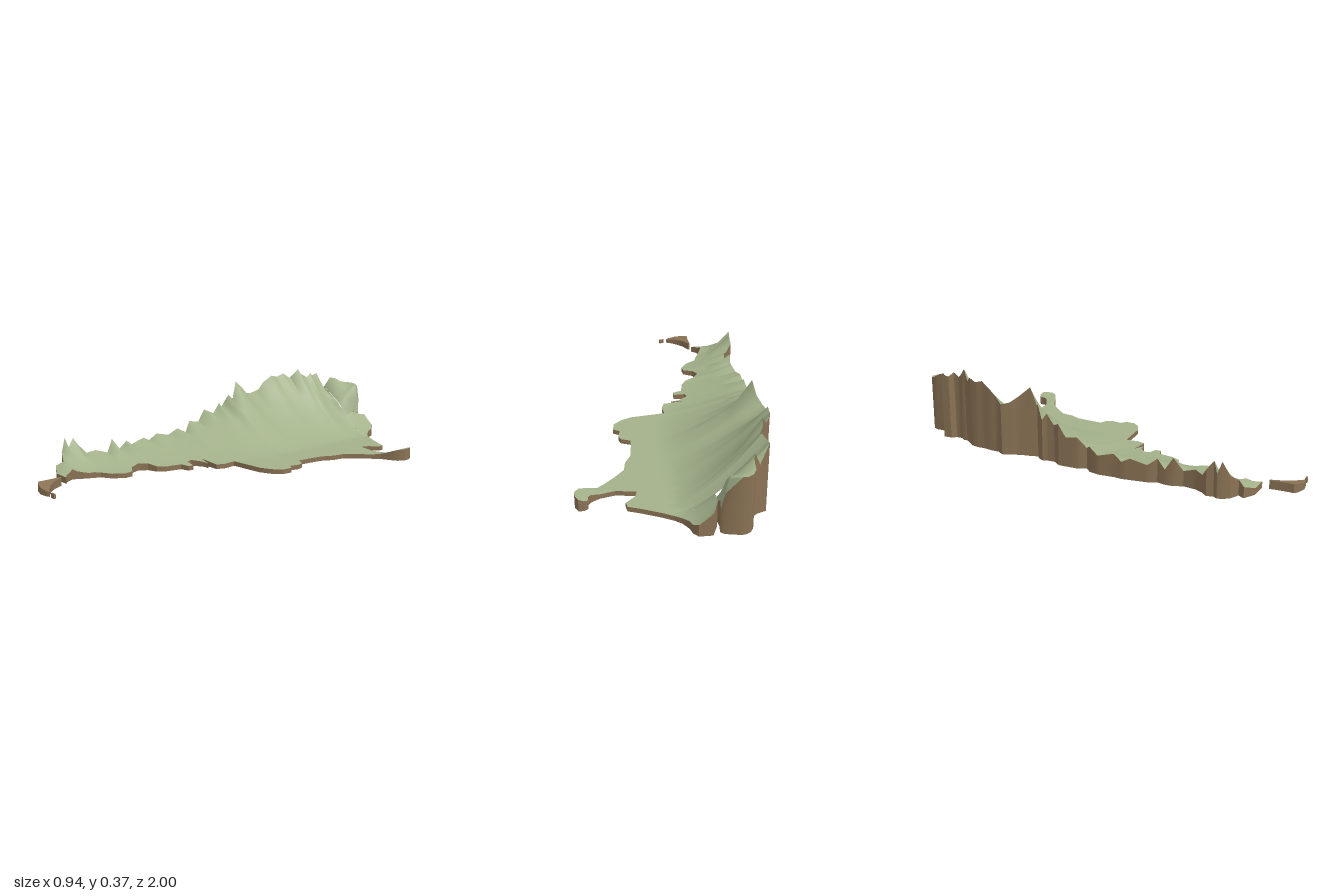
import * as THREE from 'three';
import { toCreasedNormals } from 'three/addons/utils/BufferGeometryUtils.js';

const BASE = 0.023;
const clamp = THREE.MathUtils.clamp, lerp = THREE.MathUtils.lerp;

// West coast: z, x, height of the mountain rim
const WEST = [
  [-1, -.22, .27], [-.97, -.25, .31], [-.92, -.25, .33], [-.885, -.26, .32], [-.86, -.29, .24],
  [-.845, -.33, .33], [-.8, -.33, .32], [-.78, -.31, .34], [-.75, -.31, .32], [-.72, -.33, .34],
  [-.7, -.33, .37], [-.66, -.36, .32], [-.63, -.38, .345], [-.59, -.39, .33], [-.55, -.39, .34],
  [-.5, -.4, .31], [-.46, -.4, .27], [-.42, -.425, .25], [-.38, -.41, .26], [-.34, -.39, .29],
  [-.28, -.38, .34], [-.25, -.37, .25], [-.235, -.39, .27], [-.2, -.41, .2], [-.18, -.4, .23],
  [-.14, -.4, .18], [-.1, -.43, .2], [-.06, -.43, .14], [0, -.43, .15], [.04, -.41, .1],
  [.07, -.44, .12], [.12, -.455, .09], [.2, -.45, .11], [.24, -.455, .08], [.28, -.45, .1],
  [.36, -.44, .08], [.4, -.42, .11], [.44, -.43, .07], [.48, -.43, .13], [.52, -.41, .07],
  [.58, -.42, .09], [.62, -.44, .08], [.65, -.47, .12], [.68, -.46, .16], [.7, -.475, .11],
  [.72, -.47, .165], [.75, -.45, .1], [.77, -.4, .07], [.8, -.42, .05], [.83, -.36, .03],
];
// East coast: z, x
const EAST = [
  [-.875, .05], [-.84, .11], [-.8, .19], [-.775, .25], [-.745, .255], [-.7, .21], [-.665, .2],
  [-.648, .29], [-.62, .37], [-.58, .33], [-.54, .29], [-.48, .24], [-.42, .23], [-.36, .2],
  [-.28, .19], [-.22, .185], [-.2, .23], [-.17, .24], [-.12, .23], [-.1, .26], [-.05, .255],
  [-.01, .215], [.015, .16], [.028, .06], [.037, -.01], [.1, -.005], [.14, -.02], [.16, -.06],
  [.165, -.1], [.145, -.135], [.2, -.15], [.228, -.14], [.234, -.085], [.262, -.085], [.275, -.13],
  [.35, -.145], [.39, -.17], [.41, -.22], [.45, -.245], [.5, -.225], [.525, -.18], [.565, -.175],
  [.62, -.21], [.65, -.26], [.7, -.28], [.74, -.3], [.77, -.315], [.81, -.295], [.83, -.27],
].sort((a, b) => a[0] - b[0]);

// Linear lookup in a coast table
function look(table, z, k) {
  let i = 1;
  while (i < table.length - 1 && table[i][0] < z) i++;
  const a = table[i - 1], b = table[i];
  return lerp(a[k], b[k], clamp((z - a[0]) / (b[0] - a[0]), 0, 1));
}

// Ground height: broad slope falling eastward, sharp spikes close to the rim
function field(x, z) {
  const xw = look(WEST, z, 1), rim = look(WEST, z, 2);
  let broad = 0;
  for (let k = -3; k <= 3; k++) broad += look(WEST, z + k * 0.025, 2) / 7;
  const d = Math.max(0, x - xw);
  const width = lerp(0.05 - xw, 0.22, clamp((z + 0.1) / 0.7, 0, 1));
  const slope = Math.pow(Math.max(0, 1 - d / width), 1.5);
  const spike = Math.pow(Math.max(0, 1 - d / 0.12), 1.3);
  return BASE + (broad - BASE) * slope + (rim - broad) * spike
    + 0.037 * clamp((x - 0.36) / 0.1, 0, 1);
}

// North-west block climbs to a high back wall and drops at its east side
function cornerHeight(x, z) {
  const up = clamp((-0.86 - z) / 0.12, 0, 1);
  const high = lerp(field(x, z), 0.275, up);
  return lerp(high, 0.09, clamp((x + 0.14) / 0.035, 0, 1));
}

function geometry(pos, index) {
  const g = new THREE.BufferGeometry();
  g.setAttribute('position', new THREE.Float32BufferAttribute(pos, 3));
  g.setIndex(index);
  g.computeVertexNormals();
  return g;
}

// Land from sections [xA, zA, xB, zB], ordered north to south
function land(name, sections, cols, height, topMat, sideMat, openStart = false, openEnd = false) {
  const n = sections.length - 1, m = cols;
  const top = [], floor = [], up = [], down = [];
  const point = (i, j) => {
    const [xa, za, xb, zb] = sections[i], t = Math.pow(j / m, 1.4);
    const x = lerp(xa, xb, t), z = lerp(za, zb, t);
    return [x, height(x, z), z];
  };
  for (let i = 0; i <= n; i++) for (let j = 0; j <= m; j++) {
    const p = point(i, j);
    top.push(...p);
    floor.push(p[0], 0, p[2]);
    if (i < n && j < m) {
      const a = i * (m + 1) + j, b = a + 1, c = a + m + 1, d = c + 1;
      up.push(a, c, b, b, c, d);
      down.push(a, b, c, b, d, c);
    }
  }
  // Cliff walls around the edge
  const wall = [], wallIndex = [];
  const edge = (p, q) => {
    const k = wall.length / 3;
    wall.push(...p, p[0], 0, p[2], ...q, q[0], 0, q[2]);
    wallIndex.push(k, k + 1, k + 2, k + 2, k + 1, k + 3);
  };
  for (let i = 0; i < n; i++) {
    edge(point(i, 0), point(i + 1, 0));
    edge(point(i + 1, m), point(i, m));
  }
  for (let j = 0; j < m; j++) {
    if (!openEnd) edge(point(n, j), point(n, j + 1));
    if (!openStart) edge(point(0, j + 1), point(0, j));
  }
  const group = new THREE.Group();
  group.name = name;
  const add = (part, geo, mat) => {
    const mesh = new THREE.Mesh(geo, mat);
    mesh.name = name + part;
    group.add(mesh);
  };
  add('Surface', geometry(top, up), topMat);
  add('Cliffs', toCreasedNormals(geometry(wall, wallIndex), 0.6), sideMat);
  add('Underside', geometry(floor, down), sideMat);
  return group;
}

export function createModel() {
  const grass = new THREE.MeshStandardMaterial({ color: 0xa3b18a });
  grass.name = 'sage green';
  const earth = new THREE.MeshStandardMaterial({ color: 0x8b7355 });
  earth.name = 'earth brown';
  const model = new THREE.Group();
  model.name = 'reliefMap';

  // Mainland rows at every coast point
  const NORTH = -0.865;
  const zs = [...new Set([NORTH, ...WEST.map(p => p[0]), ...EAST.map(p => p[0])])]
    .filter(z => z >= NORTH).sort((a, b) => a - b);
  const rows = zs.map(z => [look(WEST, z, 1), z, look(EAST, z, 1), z]);
  model.add(land('mainland', rows, 32, field, grass, earth, true));

  // Two northern headlands with a notch between them
  const xw = rows[0][0], xe = rows[0][2];
  model.add(land('northWestCorner', [
    [-.21, -1, -.19, -1], [-.235, -.985, -.125, -.985], [-.25, -.96, -.11, -.97],
    [-.25, -.92, -.115, -.93], [-.26, -.885, -.11, -.89], [xw, NORTH, -.105, NORTH],
  ], 12, cornerHeight, grass, earth, false, true));
  model.add(land('northHeadland', [
    [-.08, -.99, -.02, -.99], [-.09, -.965, 0, -.965], [-.105, -.93, .01, -.93],
    [-.105, -.89, .035, -.89], [-.105, NORTH, xe, NORTH],
  ], 8, field, grass, earth, false, true));

  // North-east arm with a raised tip
  model.add(land('eastArm', [
    [.43, -.75, .455, -.75], [.412, -.735, .468, -.725], [.412, -.71, .47, -.69],
    [.4, -.69, .45, -.66], [.36, -.665, .41, -.637], [.29, -.648, .37, -.62],
  ], 4, field, grass, earth, false, true));

  // Southern islands, bare earth
  const island = (x, z) => 0.022 + 0.018 * clamp((-0.14 - x) / 0.12, 0, 1);
  model.add(land('southIsland', [
    [-.266, .86, -.258, .86], [-.264, .91, -.232, .91], [-.264, .945, -.2, .945],
    [-.266, .97, -.165, .97], [-.25, .983, -.14, .982], [-.2, .997, -.155, .99],
  ], 4, island, earth, earth));
  model.add(land('islet', [
    [-.125, .977, -.1, .975], [-.125, .986, -.1, .983],
  ], 2, island, earth, earth));
  return model;
}
